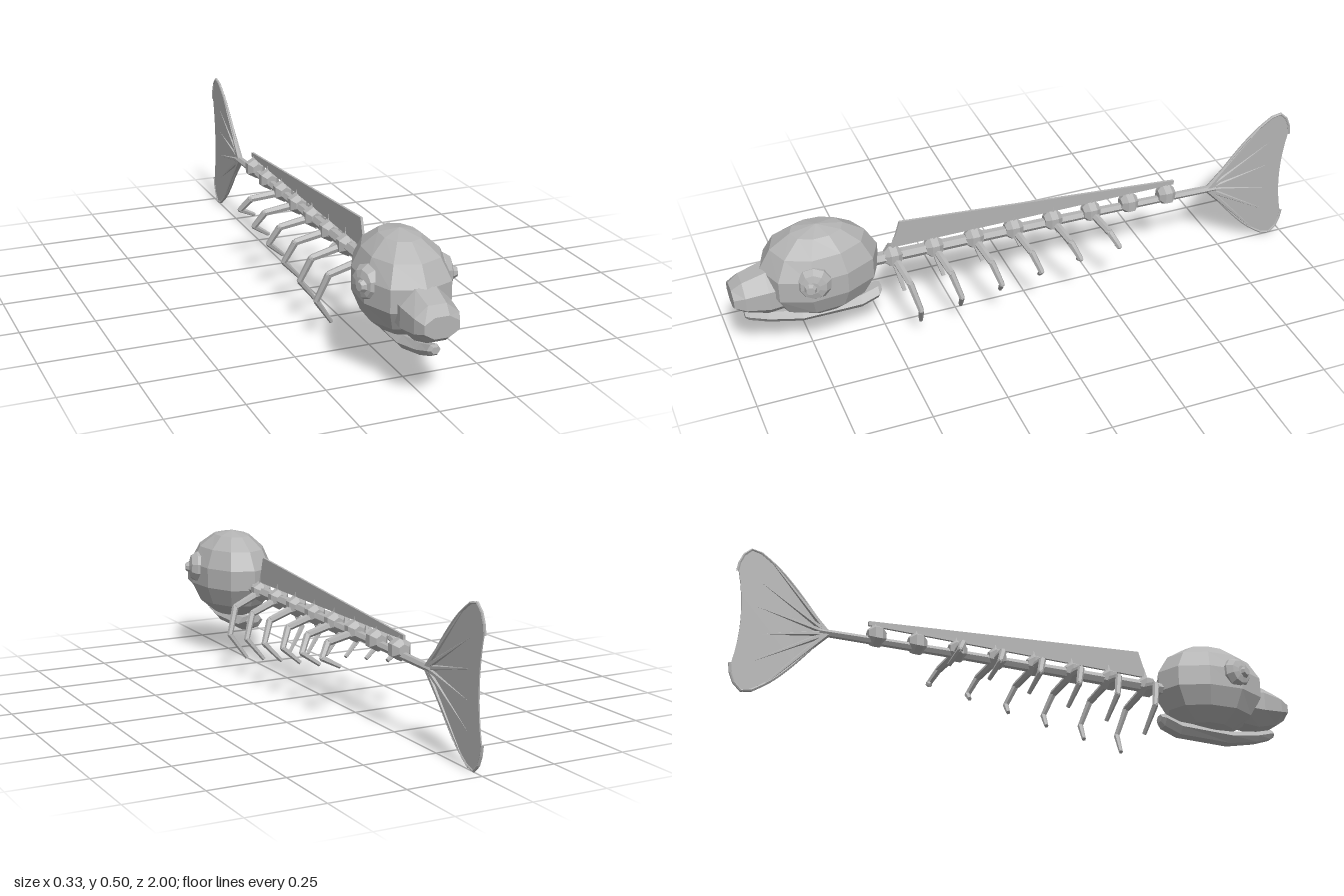
import * as THREE from 'three';

const bone = new THREE.MeshStandardMaterial({ color: 0xb4b4b4, flatShading: true });
bone.name = 'bone grey';
const membrane = bone.clone();
membrane.name = 'fin grey';
membrane.side = THREE.DoubleSide;

function add(parent, name, geometry, material = bone) {
  const mesh = new THREE.Mesh(geometry, material);
  mesh.name = name;
  parent.add(mesh);
  return mesh;
}

// Closed solid through elliptical rings [z, y, rx, ry], ordered front to back
function loft(rings, sides, phase = 0) {
  const pos = [], idx = [];
  for (const [z, y, rx, ry] of rings) {
    for (let j = 0; j < sides; j++) {
      const a = phase + (j / sides) * Math.PI * 2;
      pos.push(Math.cos(a) * rx, y + Math.sin(a) * ry, z);
    }
  }
  const last = (rings.length - 1) * sides;
  for (let i = 0; i < last; i += sides) {
    for (let j = 0; j < sides; j++) {
      const k = (j + 1) % sides;
      const a = i + j, b = i + k, c = a + sides, d = b + sides;
      idx.push(a, c, b, b, c, d);
    }
  }
  for (let j = 1; j < sides - 1; j++) {
    idx.push(0, j, j + 1, last, last + j + 1, last + j);
  }
  const g = new THREE.BufferGeometry();
  g.setAttribute('position', new THREE.Float32BufferAttribute(pos, 3));
  g.setIndex(idx);
  g.computeVertexNormals();
  return g;
}

// Tapered rod between two points
function rod(parent, name, from, to, r0, r1, sides = 6) {
  const a = new THREE.Vector3(...from), b = new THREE.Vector3(...to);
  const dir = b.clone().sub(a);
  const mesh = add(parent, name, new THREE.CylinderGeometry(r1, r0, dir.length(), sides));
  mesh.position.copy(a).add(b).multiplyScalar(0.5);
  mesh.quaternion.setFromUnitVectors(new THREE.Vector3(0, 1, 0), dir.normalize());
  return mesh;
}

// Thin plate from a [z, y] outline, centred on x = 0
function plate(shape, thickness) {
  const g = new THREE.ExtrudeGeometry(shape, { depth: thickness, bevelEnabled: false, curveSegments: 8 });
  g.translate(0, 0, -thickness / 2);
  g.rotateY(-Math.PI / 2);
  return g;
}

function buildHead() {
  const head = new THREE.Group();
  head.name = 'head';

  // Skull: faceted ellipsoid, fuller towards the face
  const skull = new THREE.SphereGeometry(1, 10, 7, -Math.PI / 2 + Math.PI / 2);
  skull.rotateY(Math.PI / 2);
  const p = skull.attributes.position;
  for (let i = 0; i < p.count; i++) {
    const x = p.getX(i), y = p.getY(i), z = p.getZ(i);
    const wide = x * (1 + 0.32 * Math.max(z, 0));
    p.setXYZ(i, THREE.MathUtils.clamp(wide, -1, 1) * 0.137, 0.316 + y * 0.162, 0.705 + z * 0.2);
  }
  skull.computeVertexNormals();
  add(head, 'skull', skull);

  add(head, 'snout', loft([
    [1.0, 0.277, 0.06, 0.036],
    [0.965, 0.277, 0.077, 0.062],
    [0.89, 0.277, 0.087, 0.086],
    [0.8, 0.277, 0.08, 0.078],
  ], 8, Math.PI / 8));

  // Jaw bar curving under the skull
  add(head, 'lowerJaw', loft([
    [0.963, 0.19, 0.014, 0.012],
    [0.95, 0.187, 0.022, 0.02],
    [0.89, 0.167, 0.028, 0.022],
    [0.78, 0.145, 0.036, 0.025],
    [0.58, 0.147, 0.036, 0.027],
    [0.52, 0.168, 0.034, 0.026],
    [0.508, 0.176, 0.02, 0.014],
  ], 6));

  for (const side of [1, -1]) {
    const eye = new THREE.Group();
    eye.name = side > 0 ? 'leftEye' : 'rightEye';
    const dome = [[0, -0.03], [0.054, -0.03], [0.057, 0.0], [0.043, 0.02], [0.02, 0.026], [0, 0.026]];
    add(eye, 'eyeball', new THREE.LatheGeometry(dome.map(([r, y]) => new THREE.Vector2(r, y)), 10));
    const pupil = add(eye, 'pupil', new THREE.CylinderGeometry(0.014, 0.022, 0.016, 8));
    pupil.position.set(0, 0.03, 0.01);
    eye.position.set(side * 0.125, 0.341, 0.755);
    // Facing sideways and slightly forward
    eye.quaternion.setFromUnitVectors(
      new THREE.Vector3(0, 1, 0), new THREE.Vector3(side, 0.05, 0.3).normalize());
    head.add(eye);
  }
  return head;
}

function buildBackbone() {
  const back = new THREE.Group();
  back.name = 'backbone';
  add(back, 'spine', loft([
    [0.56, 0.289, 0.022, 0.021],
    [0.2, 0.285, 0.02, 0.019],
    [-0.3, 0.277, 0.016, 0.015],
    [-0.72, 0.266, 0.013, 0.012],
  ], 6));

  for (let i = 0; i < 8; i++) {
    const z = 0.46 - i * 0.141;
    const y = 0.288;
    add(back, 'vertebra', loft([
      [z + 0.03, y, 0.02, 0.02],
      [z + 0.012, y, 0.038, 0.038],
      [z - 0.012, y, 0.038, 0.038],
      [z - 0.03, y, 0.02, 0.02],
    ], 6, Math.PI / 6));
    rod(back, 'vertebraSpike', [0, y + 0.025, z], [0, y + 0.07 - i * 0.003, z - 0.008], 0.009, 0.003, 5);

    // Two-jointed ribs, shorter towards the tail
    if (i > 5) continue;
    const tip = 0.066 + i * 0.025, knee = 0.152 + i * 0.014;
    for (const side of [1, -1]) {
      const rib = new THREE.Group();
      rib.name = side > 0 ? 'leftRib' : 'rightRib';
      const path = [
        [side * 0.02, 0.28, z - 0.005],
        [side * 0.112, 0.245 + i * 0.004, z - 0.022],
        [side * 0.144, knee, z - 0.045],
        [side * 0.086, tip, z - 0.06],
      ];
      const radii = [0.014, 0.012, 0.01, 0.007];
      for (let k = 0; k < 3; k++) {
        rod(rib, 'ribSegment', path[k], path[k + 1], radii[k], radii[k + 1]);
        if (k) {
          add(rib, 'ribJoint', new THREE.IcosahedronGeometry(radii[k], 0)).position.set(...path[k]);
        }
      }
      back.add(rib);
    }
  }

  // Long fin along the back, held up by the spikes
  const fin = new THREE.Shape([[0.462, 0.322], [0.432, 0.416], [-0.555, 0.337], [-0.555, 0.322]]
    .map(([z, y]) => new THREE.Vector2(z, y)));
  add(back, 'dorsalFin', plate(fin, 0.008), membrane);
  return back;
}

function buildTail() {
  const tail = new THREE.Group();
  tail.name = 'tail';
  const mid = 0.266;

  // Fan-shaped web
  const web = new THREE.Shape();
  web.moveTo(-0.69, mid);
  web.quadraticCurveTo(-0.83, 0.455, -0.95, 0.517);
  web.quadraticCurveTo(-0.985, 0.5, -0.993, 0.43);
  web.quadraticCurveTo(-0.955, mid, -0.993, 2 * mid - 0.43);
  web.quadraticCurveTo(-0.985, 0.032, -0.95, 0.015);
  web.quadraticCurveTo(-0.83, 2 * mid - 0.455, -0.69, mid);
  add(tail, 'tailWeb', plate(web, 0.004), membrane);

  for (const side of [1, -1]) {
    // Curved rim bones along the outer edges
    const rim = new THREE.CatmullRomCurve3(
      [[-0.69, 0], [-0.81, 0.145], [-0.88, 0.211], [-0.95, 0.249], [-0.985, 0.215], [-0.997, 0.16]]
        .map(([z, y]) => new THREE.Vector3(0, mid + side * y, z)));
    add(tail, 'tailRim', new THREE.TubeGeometry(rim, 14, 0.005, 6));
    // Tapered rays inside the web
    for (const rise of [0.05, 0.145]) {
      rod(tail, 'tailRay', [0, mid, -0.69], [0, mid + side * rise, -0.93], 0.011, 0.002);
    }
    rod(tail, 'tailEdgeRay', [0, mid, -0.69], [0, mid + side * 0.215, -0.885], 0.011, 0.004);
  }
  return tail;
}

export function createModel() {
  const model = new THREE.Group();
  model.name = 'fishSkeleton';
  model.add(buildHead(), buildBackbone(), buildTail());
  return model;
}
